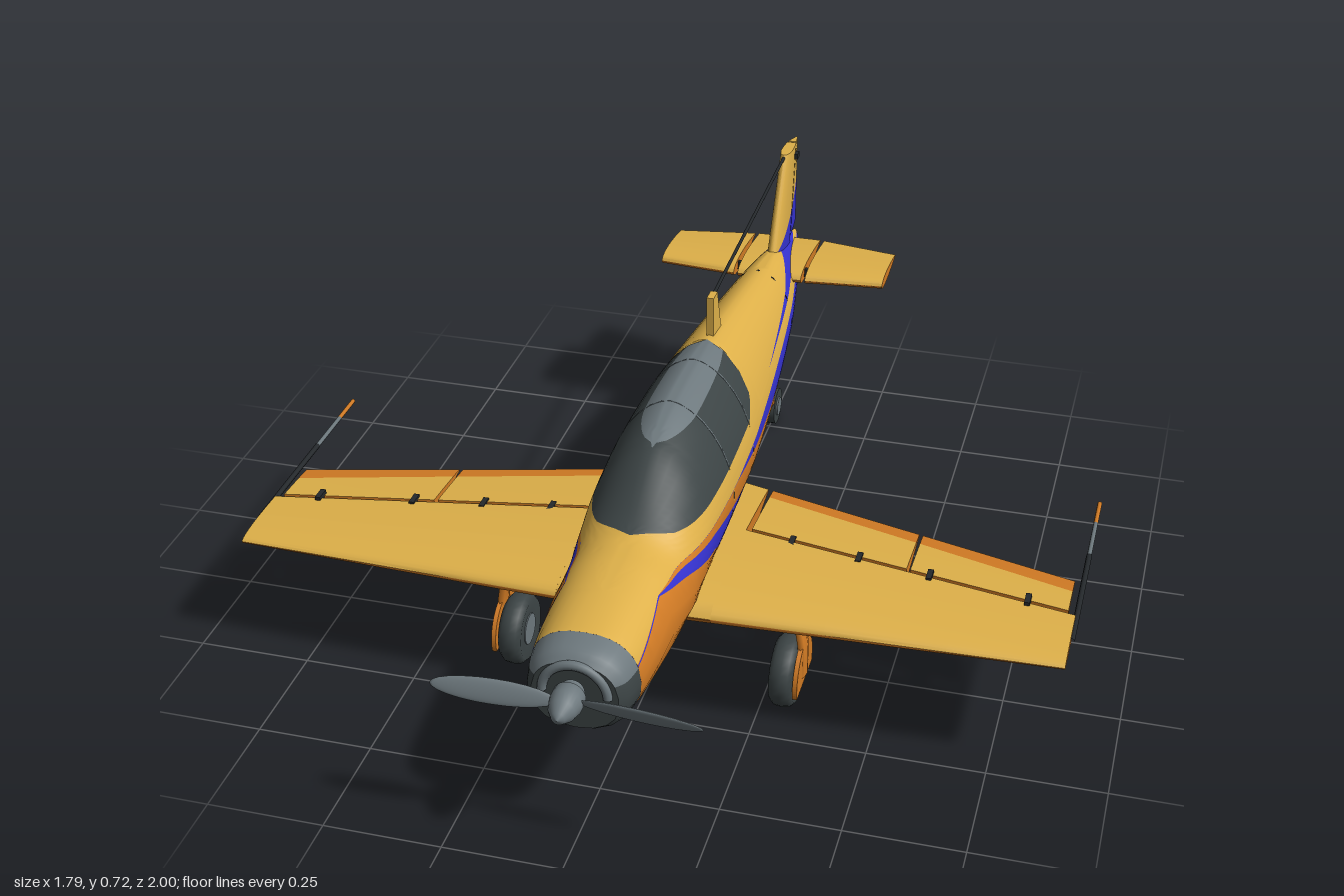
import * as THREE from 'three';
import { toCreasedNormals } from 'three/addons/utils/BufferGeometryUtils.js';

const paint = (name, color) => {
  const m = new THREE.MeshStandardMaterial({ color });
  m.name = name;
  return m;
};
const yellow = paint('yellow', 0xdeb049), orange = paint('orange', 0xd07a24), blue = paint('blue', 0x3431cc);
const glass = paint('dark glass', 0x3c4445), grey = paint('grey metal', 0x6d787d), black = paint('black', 0x24282b);

// Fuselage sections: z, bottom, top, half width, roundness
const SHAPE = [
  [-1, .365, .45, .012, 1.9], [-.9, .335, .47, .035, 1.9], [-.75, .318, .505, .062, 1.8], [-.6, .295, .525, .085, 1.8],
  [-.3, .245, .568, .115, 1.7], [-.1, .228, .592, .13, 1.7], [0, .225, .602, .136, 1.7], [.2, .223, .604, .14, 1.7],
  [.28, .225, .592, .14, 1.7], [.36, .228, .565, .139, 1.75], [.43, .23, .52, .138, 1.8], [.51, .232, .466, .135, 2],
  [.6, .235, .456, .13, 2.2], [.75, .242, .446, .12, 2.3], [.82, .246, .44, .112, 2.4], [.87, .252, .432, .102, 2.4],
  [.89, .265, .415, .088, 2.4],
];
// Paint edges as [z, height]
const BELLY_LOW = [[-1, .2], [.1, .22], [.35, .352], [.64, .418], [.83, .375]];
const BELLY_HIGH = [[-1, .2], [-.5, .26], [-.35, .285], [-.1, .315], [.1, .345], [.35, .392], [.64, .42], [.83, .378]];
const SIDE_LOW = [[-1, .2], [-.9, .335], [-.7, .348], [-.4, .36], [-.1, .378], [.16, .405], [.64, .42], [.83, .38]];
const SIDE_HIGH = [[-1, .445], [-.7, .43], [-.4, .418], [-.1, .41], [.16, .406], [.64, .42], [.83, .38]];
const TAIL_LOW = [[-1, .455], [-.8, .462], [-.6, .455], [-.25, .45], [.3, .45]];
const TAIL_HIGH = [[-1, .6], [-.8, .5], [-.6, .47], [-.25, .45], [.3, .45]];
const GLASS = [[-1, 1], [-.1, .7], [-.09, .575], [-.06, .49], [0, .46], [.42, .455], [.47, .458], [.51, .47], [.53, .7], [1, 1]];

// Table lookup, linear or smoothed through neighbouring rows
function lookup(table, z, col = 1, smooth = false) {
  const last = table.length - 1;
  let i = 0;
  while (i < last - 1 && z > table[i + 1][0]) i++;
  const p = table[i], q = table[i + 1], w = q[0] - p[0];
  const t = THREE.MathUtils.clamp((z - p[0]) / w, 0, 1);
  if (!smooth) return p[col] + (q[col] - p[col]) * t;
  const slope = (a, b) => (table[b][col] - table[a][col]) / (table[b][0] - table[a][0]) * w;
  const m0 = slope(Math.max(0, i - 1), i + 1), m1 = slope(i, Math.min(last, i + 2));
  const t2 = t * t, t3 = t2 * t;
  return p[col] * (2 * t3 - 3 * t2 + 1) + m0 * (t3 - 2 * t2 + t) + q[col] * (3 * t2 - 2 * t3) + m1 * (t3 - t2);
}

// One mesh from points and [material, indices] pairs
function build(name, points, parts, crease = .6) {
  const g = new THREE.BufferGeometry();
  g.setAttribute('position', new THREE.Float32BufferAttribute(points, 3));
  const index = [];
  parts.forEach(([, list], k) => {
    g.addGroup(index.length, list.length, k);
    for (const v of list) index.push(v);
  });
  g.setIndex(index);
  const mesh = new THREE.Mesh(toCreasedNormals(g, crease), parts.map(p => p[0]));
  mesh.name = name;
  return mesh;
}

// Slice of fuselage skin, coloured in horizontal bands between the given heights
function skin(name, z0, z1, steps, edges, mats, capMat, inflate = 0) {
  const rows = 6, points = [], parts = mats.map(m => [m, []]), cap = [];
  const bands = mats.length, half = bands * rows, count = 2 * half;
  for (let i = 0; i <= steps; i++) {
    const z = z0 + (z1 - z0) * i / steps;
    const [bottom, top, hw, n] = [1, 2, 3, 4].map(c => lookup(SHAPE, z, c, true));
    const mid = bottom + .45 * (top - bottom);
    const angles = [-Math.PI / 2];
    let low = bottom;
    for (const e of [...edges(z), top]) {
      low = Math.min(top, Math.max(low, e));
      angles.push(Math.asin(THREE.MathUtils.clamp((low - mid) / (low > mid ? top - mid : mid - bottom), -1, 1)));
    }
    angles[bands] = Math.PI / 2;
    const side = [];
    for (let r = 0; r <= half; r++) {
      const b = Math.min(bands - 1, Math.floor(r / rows)), f = r / rows - b;
      const u = Math.sin(angles[b] + (angles[b + 1] - angles[b]) * f), k = u > 0 ? n : 2.2;
      const x = (hw + inflate) * Math.pow(Math.max(0, 1 - Math.pow(Math.abs(u), k)), 1 / k);
      side.push([x, mid + u * ((u > 0 ? top - mid : mid - bottom) + inflate), z]);
    }
    for (let r = 0; r < half; r++) points.push(...side[r]);
    for (let r = half; r > 0; r--) points.push(-side[r][0], side[r][1], z);
  }
  for (let i = 0; i < steps; i++) for (let j = 0; j < count; j++) {
    const band = Math.floor((j < half ? j : count - 1 - j) / rows);
    const a = i * count + j, b = i * count + (j + 1) % count, c = b + count, d = a + count;
    parts[band][1].push(a, b, c, a, c, d);
  }
  for (let j = 1; j < count - 1; j++) {
    const e = steps * count;
    cap.push(0, j + 1, j, e, e + j, e + j + 1);
  }
  if (capMat) parts.push([capMat, cap]);
  return build(name, points, parts);
}

// Aerofoil panel lofted along x; station: span [front, rear], cut [front, rear], chord [front, rear], y, thickness
function panel(name, stations, top, under, side = 1) {
  const N = 12, L = 2 * N + 2, points = [], upper = [], lower = [];
  const foil = s => 5 * (.2969 * Math.sqrt(s) - .126 * s - .3516 * s * s + .2843 * s ** 3 - .1 * s ** 4);
  for (const { span, cut, chord, y, t } of stations) for (let j = 0; j < L; j++) {
    const v = Math.pow((j <= N ? j : L - 1 - j) / N, 1.6), z = cut[0] + (cut[1] - cut[0]) * v;
    const s = THREE.MathUtils.clamp((z - chord[0]) / (chord[1] - chord[0]), 0, 1);
    points.push(side * (span[0] + (span[1] - span[0]) * v), y + (j <= N ? 1 : -1) * (t * foil(s) + .001), z);
  }
  const quad = (list, a, b, c, d) => side > 0 ? list.push(a, b, c, a, c, d) : list.push(a, c, b, a, d, c);
  for (let i = 0; i < stations.length - 1; i++) for (let j = 0; j < L; j++) {
    const a = i * L + j, b = i * L + (j + 1) % L;
    quad(j < N ? upper : lower, a, a + L, b + L, b);
  }
  const e = (stations.length - 1) * L;
  for (let k = 0; k < N; k++) {
    quad(lower, k, k + 1, L - 2 - k, L - 1 - k);
    quad(lower, e + k, e + L - 1 - k, e + L - 2 - k, e + k + 1);
  }
  return build(name, points, [[top, upper], [under, lower]]);
}

export function createModel() {
  const model = new THREE.Group();
  const add = (name, geometry, material, x = 0, y = 0, z = 0, parent = model) => {
    const mesh = new THREE.Mesh(geometry, material);
    mesh.name = name;
    mesh.position.set(x, y, z);
    parent.add(mesh);
    return mesh;
  };
  const rod = (name, mat, r, pts) => add(name, new THREE.TubeGeometry(
    new THREE.CatmullRomCurve3(pts.map(p => new THREE.Vector3(...p))), pts.length * 6, r, 8), mat);

  // Fuselage with painted stripes and canopy
  const paintEdges = z => {
    const g = lookup(GLASS, z);
    return [...[BELLY_LOW, BELLY_HIGH, SIDE_LOW, SIDE_HIGH, TAIL_LOW, TAIL_HIGH].map(t => lookup(t, z)), g, Math.max(g, .577)];
  };
  model.add(skin('fuselage', -1, .82, 130, paintEdges,
    [orange, blue, orange, blue, yellow, blue, yellow, glass, grey], blue));
  model.add(skin('cowling', .82, .89, 8, () => [.375], [glass, grey], glass));
  model.add(skin('tailSeam', -.594, -.589, 1, () => [], [black], black, .0015));
  for (const z of [.01, .2]) model.add(skin('canopyFrame', z - .002, z + .002, 1, () => [.46], [yellow, grey], grey, .0012));
  add('intakeLip', new THREE.TorusGeometry(.066, .01, 10, 24, Math.PI), grey, 0, .345, .889);

  // Spinner and two-blade propeller
  const nose = [[0, .1], [.014, .092], [.027, .07], [.033, .045], [.033, .02], [.024, .018], [.024, 0]];
  add('spinner', new THREE.LatheGeometry(nose.map(p => new THREE.Vector2(...p)).reverse(), 24), grey, 0, .362, .9)
    .rotation.x = Math.PI / 2;
  for (const s of [1, -1]) {
    const blade = add('propellerBlade', new THREE.SphereGeometry(1, 20, 12), grey, s * .145, .362, .944);
    blade.scale.set(.125, .025, .006);
    blade.rotation.set(s * .45, s * -.06, 0);
  }

  // Wings, ailerons, hinges, tip rods and main gear
  const lead = x => .505 - .04 * (x - .14), trail = x => -.01 + .252 * (x - .175), gap = x => .2 + .14 * (x - .175);
  const wing = (x, front, rear) => ({
    span: [x, x], cut: [front(x), rear(x)], chord: [lead(x), trail(x)],
    y: .281 - .008 * x, t: .08 - .058 * x / .885,
  });
  const strip = x => trail(x) + .035 + .01 * x, behindGap = x => gap(x) - .01;
  for (const s of [1, -1]) {
    model.add(panel('wingRoot', [.05, .167].map(x => wing(x, lead, trail)), yellow, orange, s));
    model.add(panel('wing', [.166, .4, .65, .886].map(x => wing(x, lead, gap)), yellow, orange, s));
    for (const [a, b] of [[.178, .524], [.532, .87]]) {
      model.add(panel('aileron', [a, b].map(x => wing(x, behindGap, strip)), yellow, orange, s));
      model.add(panel('aileronTrailingEdge', [a, b].map(x => wing(x, strip, trail)), orange, orange, s));
    }
    for (const x of [.27, .42, .575, .785]) {
      add('aileronHinge', new THREE.BoxGeometry(.012, .065 - .035 * x, .035), black, s * x, .277, gap(x) - .005);
    }
    rod('tipRod', black, .006, [[s * .888, .275, .38], [s * .888, .275, .06]]);
    rod('tipRodMiddle', grey, .005, [[s * .888, .275, .06], [s * .888, .275, -.07]]);
    rod('tipRodEnd', orange, .005, [[s * .888, .275, -.07], [s * .888, .275, -.155]]);

    const tyre = add('mainWheel', new THREE.CapsuleGeometry(.08, .001, 4, 28), black, s * .3, .08, .365);
    tyre.geometry = new THREE.LatheGeometry([[.03, -.022], [.068, -.026], [.078, -.016], [.08, 0], [.078, .016], [.068, .026], [.03, .022]]
      .map(p => new THREE.Vector2(...p)), 28);
    tyre.material = glass;
    tyre.rotation.z = Math.PI / 2;
    add('mainHub', new THREE.CylinderGeometry(.035, .035, .05, 20), grey, s * .3, .08, .365).rotation.z = Math.PI / 2;
    // Flat outer fairing, cut off above the ground
    const disc = new THREE.Shape();
    disc.absarc(0, 0, .077, -.3, Math.PI + .3);
    const fairing = add('wheelFairing', new THREE.ExtrudeGeometry(disc, { depth: .01, bevelEnabled: false, curveSegments: 24 }),
      orange, s * .333 - .005, .083, .365);
    fairing.rotation.y = Math.PI / 2;
    const leg = rod('mainLeg', orange, .01, [[s * .315, .275, 0], [s * .324, .21, 0], [s * .333, .15, 0], [s * .334, .08, 0]]);
    leg.scale.z = 2.8;
    leg.position.z = .365;

    // Tailplane
    const tail = x => {
      const c = [-.71 - .1 * Math.max(0, x - .08), -.945 + .17 * Math.max(0, x - .08)];
      return { span: [x, x], cut: c, chord: c, y: .45, t: .036 - .03 * x };
    };
    model.add(panel('tailplaneRoot', [0, .08].map(tail), yellow, orange, s));
    model.add(panel('elevator', [.09, .28].map(tail), yellow, orange, s));
    add('elevatorHinge', new THREE.BoxGeometry(.022, .02, .012), black, s * .085, .45, -.76);
  }

  // Fin and rudder, lofted sideways and stood upright
  const fin = new THREE.Group();
  fin.name = 'fin';
  fin.rotation.z = Math.PI / 2;
  model.add(fin);
  const finLead = h => -.725 - .125 * (h - .49) / .225, finGap = h => -.885 - .05 * (h - .48) / .2;
  const up = (span, front, rear) => ({
    span, cut: [front, rear], chord: [finLead(span[0]), -1.001], y: 0, t: .034 - .03 * (span[0] - .45),
  });
  const finRow = (a, b) => up([a, b], finLead(a), finGap(b) + .003), rudderRow = (a, b) => up([a, b], finGap(a) - .003, -1);
  fin.add(panel('finBase', [finRow(.44, .44), finRow(.495, .55)], blue, blue));
  fin.add(panel('finTop', [finRow(.495, .55), finRow(.717, .714)], yellow, yellow));
  fin.add(panel('rudderBase', [rudderRow(.483, .478), rudderRow(.553, .6)], blue, blue));
  fin.add(panel('rudderTop', [rudderRow(.553, .6), rudderRow(.714, .705)], yellow, yellow));
  add('rudderHinge', new THREE.BoxGeometry(.04, .014, .022), black, 0, .685, -.93);

  // Antenna mast, wire and belly aerial
  const mastShape = new THREE.Shape([[.2, .57], [.13, .57], [.13, .68], [.165, .68]].map(p => new THREE.Vector2(...p)));
  add('mast', new THREE.ExtrudeGeometry(mastShape, { depth: .016, bevelEnabled: false }), yellow, -.008).rotation.y = Math.PI / 2;
  rod('antennaWire', black, .004, [[0, .675, -.15], [0, .71, -.86]]);
  rod('bellyAerial', black, .003, [[0, .24, 0], [0, .145, 0]]);

  // Tail wheel
  add('tailGearMount', new THREE.BoxGeometry(.04, .08, .06), orange, 0, .255, -.61);
  rod('tailGearLeg', orange, .014, [[0, .27, -.61], [0, .21, -.66], [0, .15, -.705], [0, .09, -.725], [0, .06, -.775]]);
  add('tailGearPivot', new THREE.CylinderGeometry(.014, .014, .046, 12), grey, 0, .25, -.61).rotation.z = Math.PI / 2;
  add('tailWheel', new THREE.CylinderGeometry(.046, .046, .03, 24), glass, 0, .046, -.78).rotation.z = Math.PI / 2;
  add('tailHub', new THREE.CylinderGeometry(.024, .024, .038, 16), grey, 0, .046, -.78).rotation.z = Math.PI / 2;
  return model;
}
